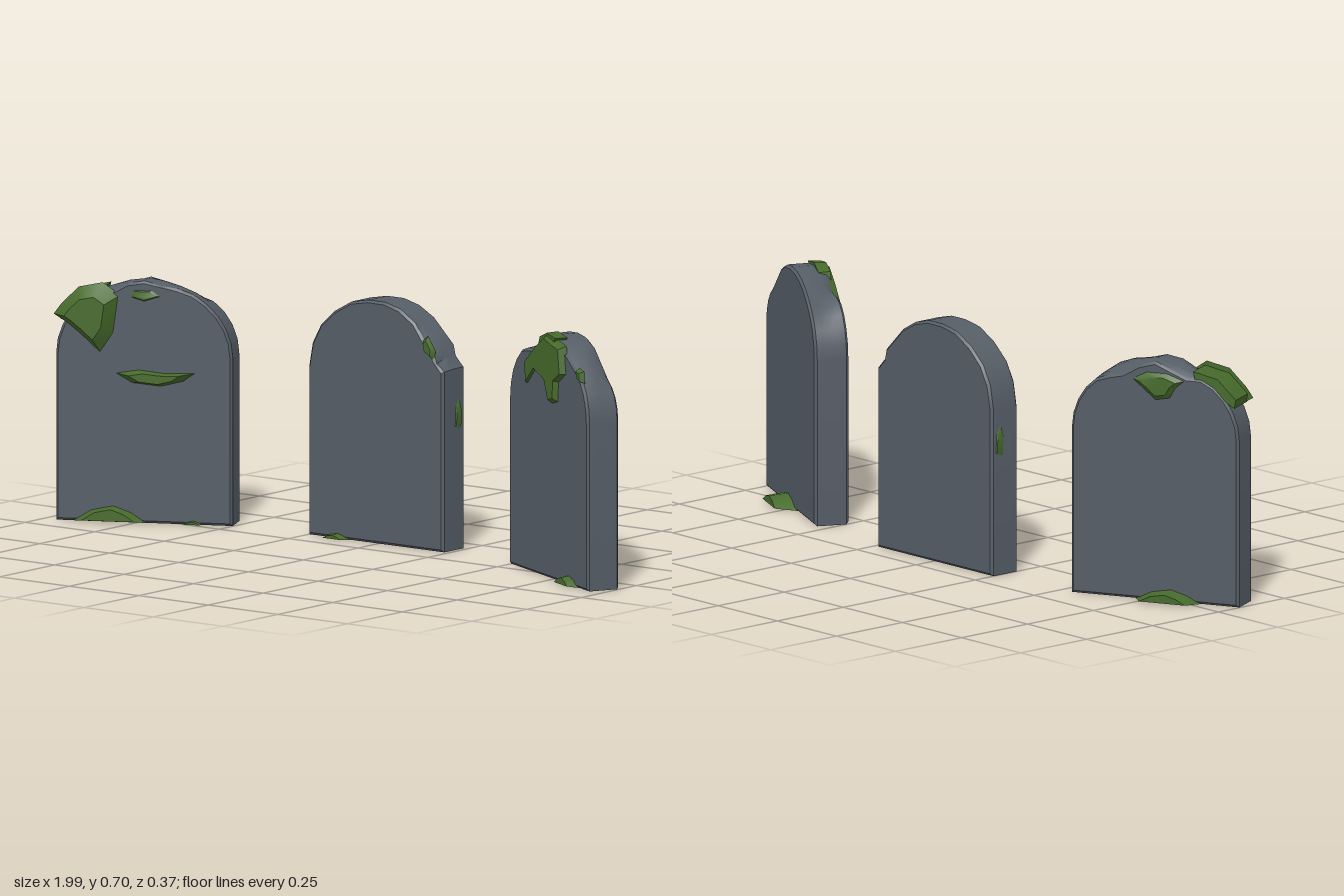
import * as THREE from 'three';
import { toCreasedNormals } from 'three/addons/utils/BufferGeometryUtils.js';

const stone = new THREE.MeshStandardMaterial({ color: 0x555d66 });
stone.name = 'slate stone';
const moss = new THREE.MeshStandardMaterial({ color: 0x466a2b });
moss.name = 'moss green';

const shapeOf = (pts) => new THREE.Shape(pts.map(([x, y]) => new THREE.Vector2(x, y)));
const DEPTH = 0.1;

// Upright slab from a half-round outline; chips are [x, z, width, drop] dents in its top
function slab(outline, chips) {
  const b = 0.007;
  const geo = new THREE.ExtrudeGeometry(shapeOf(outline), {
    depth: DEPTH - 2 * b, steps: 4, bevelEnabled: true, bevelSegments: 1,
    bevelSize: b, bevelThickness: b, bevelOffset: -b,
  });
  geo.translate(0, 0, b - DEPTH / 2);
  const p = geo.attributes.position;
  for (let i = 0; i < p.count; i++) {
    const x = p.getX(i), z = p.getZ(i);
    if (p.getY(i) < 0.5) continue;
    for (const [cx, cz, w, drop] of chips) {
      const d = ((x - cx) / w) ** 2 + ((z - cz) / 0.035) ** 2;
      p.setY(i, p.getY(i) - drop * Math.exp(-d));
    }
  }
  const mesh = new THREE.Mesh(toCreasedNormals(geo, 0.6), stone);
  mesh.name = 'slab';
  return mesh;
}

// Mossy lump: an outline raised from a face, narrowing outwards
function patch(name, pts, thick, place = {}) {
  const { x = 0, y = 0, z = DEPTH / 2, turn = 0, taper = 0.6 } = place;
  const geo = new THREE.ExtrudeGeometry(shapeOf(pts), { depth: thick + 0.006, bevelEnabled: false });
  const cx = pts.reduce((s, q) => s + q[0], 0) / pts.length;
  const cy = pts.reduce((s, q) => s + q[1], 0) / pts.length;
  const p = geo.attributes.position;
  for (let i = 0; i < p.count; i++) {
    if (p.getZ(i) < thick / 2) continue;
    p.setX(i, cx + (p.getX(i) - cx) * taper);
    p.setY(i, cy + (p.getY(i) - cy) * taper);
  }
  geo.translate(0, 0, -0.006);
  const mesh = new THREE.Mesh(toCreasedNormals(geo, 0.7), moss);
  mesh.name = name;
  mesh.position.set(x, y, z);
  mesh.rotation.y = turn;
  return mesh;
}

// Low tuft at the foot of a stone
const tuft = (name, w, h, thick, place) =>
  patch(name, [[-w, 0], [w, 0], [w * 0.6, h * 0.6], [w * 0.1, h], [-w * 0.5, h * 0.7]]
    .map(([x, y]) => [x + (place.cx || 0), y]), thick, { taper: 0.7, ...place });

// Half-elliptic top over straight sides
function archOutline(w, shoulder, top) {
  const pts = [[-w, 0], [w, 0]];
  for (let i = 0; i <= 16; i++) {
    const a = (i / 16) * Math.PI;
    pts.push([w * Math.cos(a), shoulder + (top - shoulder) * Math.sin(a)]);
  }
  return pts;
}

function place(name, parts, x, z, turn) {
  const g = new THREE.Group();
  g.name = name;
  g.add(...parts);
  g.position.set(x, 0, z);
  g.rotation.y = turn;
  return g;
}

export function createModel() {
  const model = new THREE.Group();
  model.name = 'gravestones';
  const back = { z: -DEPTH / 2, turn: Math.PI };

  // Middle stone with a notched shoulder
  const middle = [[-0.243, 0], [0.243, 0], [0.243, 0.52], [0.215, 0.55], [0.208, 0.58], [0.178, 0.61],
    [0.138, 0.65], [0.085, 0.68], [0.03, 0.694], [-0.03, 0.694], [-0.09, 0.683], [-0.15, 0.65],
    [-0.2, 0.605], [-0.23, 0.55], [-0.243, 0.48]];
  const strip = [[-0.02, 0.34], [0.015, 0.33], [0.02, 0.4], [0.005, 0.45], [-0.015, 0.42]];
  model.add(place('middleStone', [
    slab(middle, [[0.19, 0.05, 0.04, 0.02]]),
    patch('shoulderMoss', [[0.168, 0.6], [0.175, 0.565], [0.208, 0.545], [0.212, 0.575], [0.185, 0.615]], 0.008),
    patch('sideMoss', strip, 0.003, { x: 0.243, z: -0.02, turn: Math.PI / 2 }),
    patch('sideMoss', strip, 0.003, { x: -0.243, z: -0.02, turn: -Math.PI / 2 }),
    tuft('frontTuft', 0.045, 0.015, 0.025, { cx: -0.14 }),
  ], -0.007, -0.137, 0));

  // Stone on the -x side, turned inwards
  model.add(place('westStone', [
    slab(archOutline(0.255, 0.48, 0.695), [[-0.08, -0.05, 0.05, 0.03], [-0.12, 0.05, 0.06, 0.025],
      [0.1, -0.05, 0.06, 0.03], [0.06, 0.05, 0.04, 0.012]]),
    patch('frontMoss', [[-0.262, 0.59], [-0.23, 0.57], [-0.18, 0.53], [-0.125, 0.48], [-0.085, 0.54],
      [-0.07, 0.65], [-0.12, 0.685], [-0.19, 0.67], [-0.24, 0.62]], 0.035),
    patch('topMoss', [[-0.24, 0.575], [-0.19, 0.61], [-0.12, 0.65], [-0.115, 0.672], [-0.19, 0.655], [-0.245, 0.6]],
      0.09, { z: -0.04, taper: 1 }),
    patch('smallMoss', [[-0.05, 0.645], [0.0, 0.63], [0.06, 0.65], [0.03, 0.67], [-0.04, 0.67]], 0.004),
    patch('crescentMoss', [[-0.09, 0.428], [-0.04, 0.4], [0.05, 0.392], [0.12, 0.41], [0.155, 0.435],
      [0.06, 0.432], [-0.02, 0.44]], 0.025),
    patch('backMoss', [[-0.08, 0.64], [-0.03, 0.6], [0, 0.575], [0.05, 0.585], [0.07, 0.62], [0.1, 0.645],
      [0.04, 0.665], [-0.03, 0.665]], 0.012, back),
    tuft('frontTuft', 0.11, 0.048, 0.03, { cx: -0.1 }),
    tuft('smallTuft', 0.03, 0.012, 0.012, { cx: 0.14 }),
    tuft('backTuft', 0.1, 0.035, 0.05, { cx: 0.04, ...back }),
  ], -0.75, 0.008, 0.455));

  // Stone on the +x side, turned inwards the other way
  model.add(place('eastStone', [
    slab(archOutline(0.255, 0.48, 0.695), [[-0.1, 0.05, 0.05, 0.04], [0.14, 0.05, 0.05, 0.02],
      [0.17, -0.05, 0.06, 0.035], [-0.17, 0, 0.04, 0.02]]),
    patch('frontMoss', [[-0.148, 0.6], [-0.14, 0.535], [-0.08, 0.59], [0, 0.565], [0.03, 0.5], [0.065, 0.51],
      [0.07, 0.57], [0.12, 0.6], [0.108, 0.68], [0.05, 0.69], [0, 0.703], [-0.07, 0.66]], 0.015, { taper: 0.85 }),
    patch('topMoss', [[-0.06, 0.66], [0.05, 0.68], [0.06, 0.695], [0, 0.704], [-0.05, 0.685]], 0.03,
      { z: 0.025, taper: 0.9 }),
    patch('shoulderMoss', [[0.19, 0.63], [0.2, 0.6], [0.228, 0.59], [0.225, 0.625]], 0.01),
    tuft('frontTuft', 0.06, 0.028, 0.025, { cx: 0.13 }),
    tuft('backTuft', 0.09, 0.035, 0.055, { cx: -0.03, ...back }),
  ], 0.747, 0.008, -0.455));

  return model;
}
